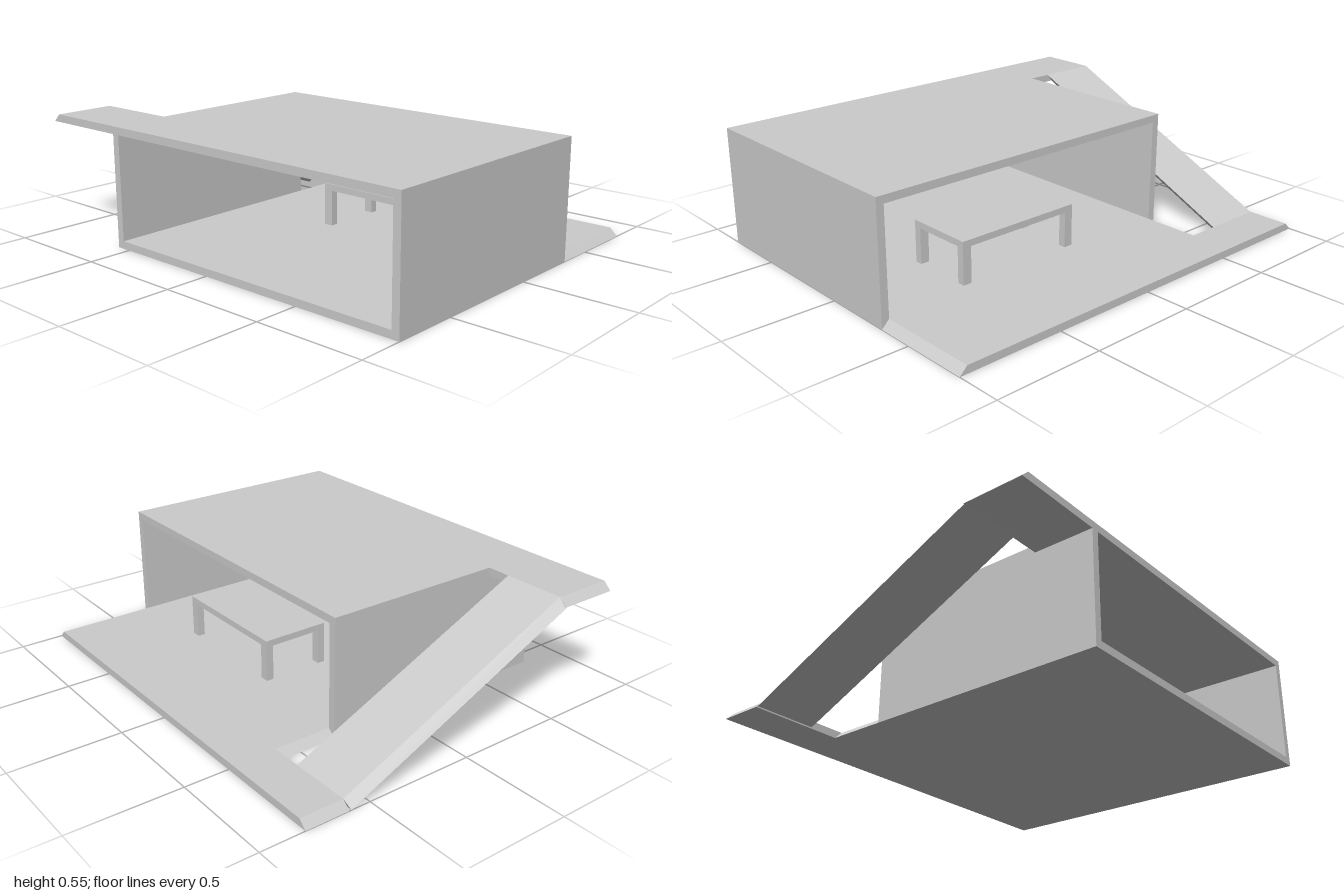
import * as THREE from 'three';

const H = 0.545; // overall height
const T = 0.035; // shell thickness
const material = new THREE.MeshStandardMaterial({ color: 0xcccccc, flatShading: true });

export function createModel() {
  const group = new THREE.Group();

  const add = (parent, name, geometry) => {
    const mesh = new THREE.Mesh(geometry, material);
    mesh.name = name;
    parent.add(mesh);
    return mesh;
  };
  const toPoints = (list) => list.map(([x, y]) => new THREE.Vector2(x, y));

  // Runs an x-y cross-section from z0 to z1, with an optional hole
  const prism = (name, z0, z1, outline, hole) => {
    const shape = new THREE.Shape(toPoints(outline));
    if (hole) shape.holes.push(new THREE.Path(toPoints(hole)));
    const geometry = new THREE.ExtrudeGeometry(shape, { depth: z1 - z0, bevelEnabled: false });
    geometry.translate(0, 0, z0);
    return add(group, name, geometry);
  };

  // Floor slabs with chamfered sides; the back one also carries the foot of the ramp
  prism('rearFloor', -0.8, -0.6, [[-1, 0], [1, 0], [1 - T, T], [-1 + T, T]]);
  prism('terraceFloor', -0.6, -0.33, [[-0.57, 0], [1, 0], [1 - T, T], [-0.57 + T, T]]);

  // Open-ended room; its front stretch includes the roof landing of the ramp
  const opening = [[-0.57 + T, T], [-0.57 + T, H - T], [1 - T, H - T], [1 - T, T]];
  prism('room', -0.33, 0.52, [[-0.57, 0], [1, 0], [1, H], [-0.57, H]], opening);
  prism('frontRoomAndRoofLanding', 0.52, 0.8,
    [[-0.57, 0], [1, 0], [1, H], [-1 + T, H], [-1, H - T], [-0.57, H - T]], opening);

  // Sloping ramp: a box sheared from floor to roof, sides leaning inward at the top
  const ramp = new THREE.BoxGeometry(1, 1, 1);
  const p = ramp.attributes.position;
  for (let i = 0; i < p.count; i++) {
    const left = p.getX(i) > 0, top = p.getY(i) > 0, front = p.getZ(i) > 0;
    const x = (left ? -0.715 : -1) + (top ? T : 0);
    const y = (front ? H - T : 0) + (top ? T : 0);
    const z = (front ? 0.52 : -0.6) + (top ? 0 : 0.012);
    p.setXYZ(i, x, y, z);
  }
  ramp.computeVertexNormals();
  add(group, 'ramp', ramp);

  // Table inside the room
  const table = new THREE.Group();
  table.name = 'table';
  table.position.set(0.26, T, -0.14);
  add(table, 'tableTop', new THREE.BoxGeometry(0.62, 0.03, 0.32)).position.y = 0.18;
  for (const sx of [-1, 1]) {
    for (const sz of [-1, 1]) {
      add(table, 'tableLeg', new THREE.BoxGeometry(0.042, 0.166, 0.035))
        .position.set(sx * 0.289, 0.083, sz * 0.1425);
    }
  }
  group.add(table);

  return group;
}
